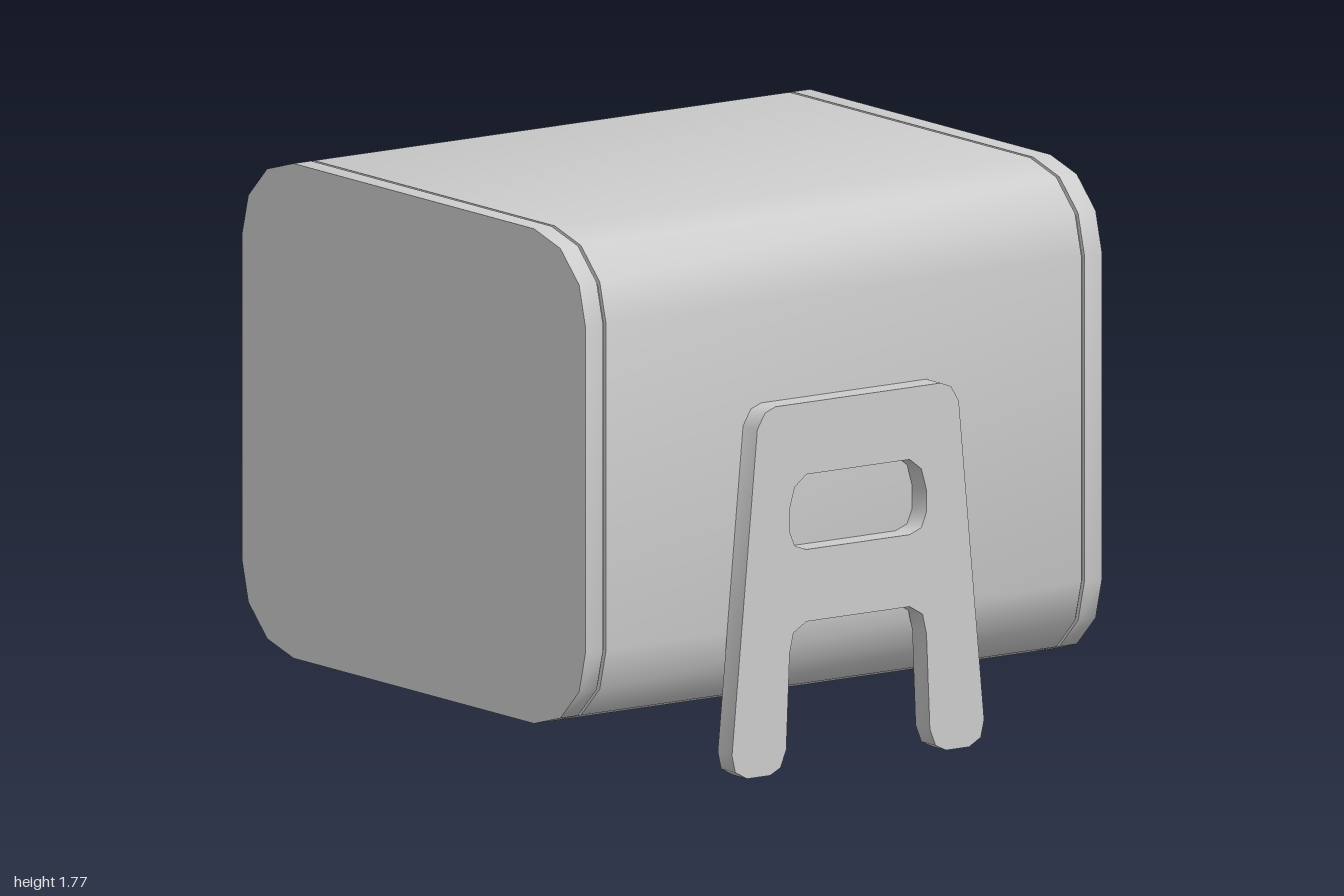
import * as THREE from 'three';
import { toCreasedNormals } from 'three/addons/utils/BufferGeometryUtils.js';

const grey = new THREE.MeshStandardMaterial({ color: 0xcccccc });
grey.name = 'plain grey';

// Mirror a half outline (from top centre down to bottom centre) across the vertical axis
function mirrored(half) {
  const other = half.filter(([x]) => x > 0.001).reverse().map(([x, y]) => [-x, y]);
  return [...half, ...other].map(([x, y]) => new THREE.Vector2(x, y));
}

// Flat plate with openings; openings run the opposite way round so their walls face inward
function plate(half, holes, z0, z1) {
  const shape = new THREE.Shape(mirrored(half));
  holes.forEach(h => shape.holes.push(new THREE.Path(mirrored(h).reverse())));
  const g = new THREE.ExtrudeGeometry(shape, { depth: z1 - z0, bevelEnabled: false });
  g.translate(0, 0, z0);
  return toCreasedNormals(g, 0.85);
}

// Rounded house outline, optionally inset
function outline(inset = 0) {
  const corner = [[0.64, 0.79], [0.78, 0.75], [0.88, 0.65], [0.914, 0.52]];
  const k = 1 - inset / 0.85;
  return [
    ...corner.map(([x, y]) => [x * k, 0.977 + y * k]),
    ...corner.slice().reverse().map(([x, y]) => [x * k, 0.977 - y * k]),
  ];
}

const doorway = [
  [0, 1.505], [0.05, 1.49], [0.7, 1.235], [0.73, 1.21], [0.74, 1.17],
  [0.74, 0.45], [0.72, 0.39], [0.65, 0.36],
];
const chamber = [[0.75, 1.62], [0.75, 0.35]];

const legOutline = [
  [0.32, 1.175], [0.36, 1.16], [0.39, 1.11], [0.488, 0.08], [0.475, 0.025], [0.43, 0],
  [0.34, 0], [0.3, 0.02], [0.278, 0.075], [0.265, 0.38], [0.25, 0.445], [0.2, 0.475],
];
const legWindow = [
  [0.2, 0.945], [0.245, 0.91], [0.265, 0.84], [0.265, 0.77], [0.245, 0.722], [0.2, 0.705],
];

// Soft bed: a squared-off ellipsoid with a dip in the middle and raised sides
function cushionGeometry() {
  const g = new THREE.SphereGeometry(1, 64, 40);
  const p = g.attributes.position;
  const pow = (v, e) => Math.sign(v) * Math.pow(Math.abs(v), e);
  for (let i = 0; i < p.count; i++) {
    const x = p.getX(i), y = p.getY(i), z = p.getZ(i);
    const r = Math.hypot(x, z) || 1e-6;
    const spread = Math.pow(Math.min(r, 1), 0.7);
    const nx = pow(x / r, 0.4) * spread;
    const nz = pow(z / r, 0.4) * spread;
    const top = 0.5 + 0.17 * nx * nx + 0.07 * THREE.MathUtils.smoothstep(nz, -0.9, 0.3);
    const h = y > 0 ? 0.4 + (top - 0.4) * pow(y, 0.4) : 0.4 + 0.05 * pow(y, 0.3);
    p.setXYZ(i, nx * 0.74, h, nz * 0.83 + 0.02);
  }
  g.computeVertexNormals();
  return g;
}

export function createModel() {
  const group = new THREE.Group();
  group.name = 'petHouse';
  const add = (name, geometry) => {
    const mesh = new THREE.Mesh(geometry, grey);
    mesh.name = name;
    group.add(mesh);
  };

  // Hollow shell with end panels, separated by thin grooves
  add('shell', plate(outline(), [chamber], -0.92, 0.92));
  add('frontPanel', plate(outline(), [], 0.932, 1));
  add('frontInnerWall', plate(outline(0.012), [], 0.87, 0.94));
  add('entrancePanel', plate(outline(), [doorway], -1, -0.932));
  add('entranceInnerWall', plate(outline(0.012), [doorway], -0.94, -0.87));

  // Bed inside
  add('cushion', cushionGeometry());

  // A-shaped stands on both sides
  for (const side of [1, -1]) {
    const g = plate(legOutline, [legWindow], -0.038, 0.038);
    g.rotateY(Math.PI / 2);
    g.translate(side * 0.952, 0, 0);
    add(side > 0 ? 'leftStand' : 'rightStand', g);
  }
  return group;
}
